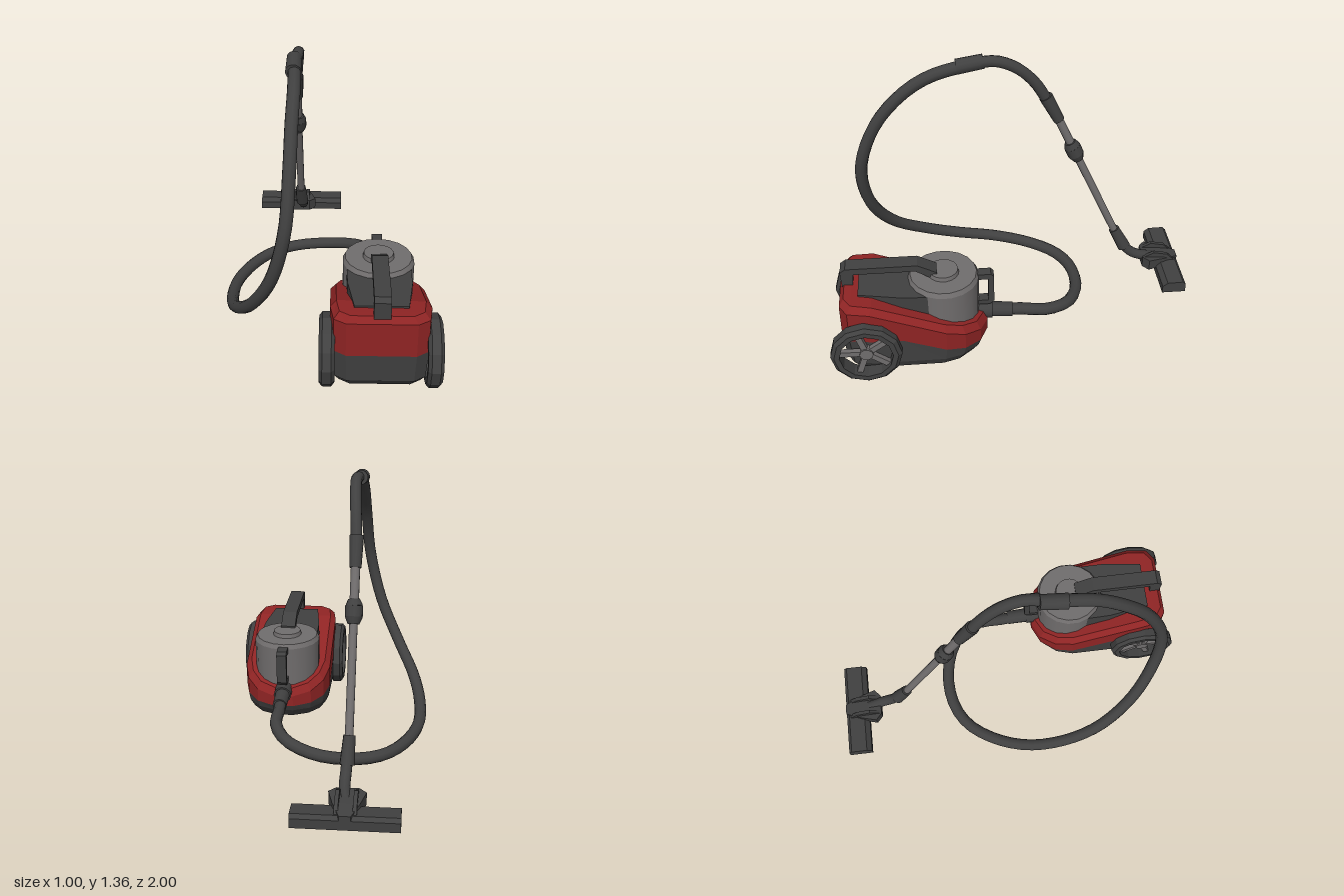
import * as THREE from 'three';

const mat = (name, color) => { const m = new THREE.MeshStandardMaterial({ color }); m.name = name; return m; };
const red = mat('red shell', 0x8f2424);
const dark = mat('dark plastic', 0x404040);
const grey = mat('grey plastic', 0x706d6d);
const TURN = -Math.PI / 8;
const v = (x, y, z) => new THREE.Vector3(x, y, z);

function add(parent, name, geo, material) {
  const mesh = new THREE.Mesh(geo, material);
  mesh.name = name;
  parent.add(mesh);
  return mesh;
}

const flat = (geo) => {
  const g = geo.index ? geo.toNonIndexed() : geo;
  g.computeVertexNormals();
  return g;
};

// piecewise linear height along z
const slope = (...t) => (z) => {
  for (let i = 1; i < t.length; i++) {
    const [z0, y0] = t[i - 1], [z1, y1] = t[i];
    if (z <= z1 || i === t.length - 1) return THREE.MathUtils.lerp(y0, y1, THREE.MathUtils.clamp((z - z0) / (z1 - z0), 0, 1));
  }
};

// mirrored outline lofted through levels { sx, sz, y(z) } from bottom to top
function loft(half, levels, zc = 0.14) {
  const n = half.length, N = n * 2, pos = [];
  const loop = [...half, ...[...half].reverse().map(([x, z]) => [-x, z])];
  const rings = levels.map(({ sx = 1, sz = 1, y }) => loop.map(([x, z]) => {
    const zz = zc + (z - zc) * sz;
    return [x * sx, y(zz), zz];
  }));
  const quad = (a, b, c, d) => pos.push(...a, ...b, ...c, ...a, ...c, ...d);
  for (let r = 1; r < rings.length; r++) {
    const a = rings[r - 1], b = rings[r];
    for (let i = 0; i < N; i++) quad(a[i], b[i], b[(i + 1) % N], a[(i + 1) % N]);
  }
  const lo = rings[0], hi = rings[rings.length - 1];
  for (let i = 0; i < n - 1; i++) {
    const j = N - 1 - i;
    quad(hi[i], hi[j], hi[j - 1], hi[i + 1]);
    quad(lo[i], lo[i + 1], lo[j - 1], lo[j]);
  }
  const g = new THREE.BufferGeometry();
  g.setAttribute('position', new THREE.Float32BufferAttribute(pos, 3));
  g.computeVertexNormals();
  return g;
}

// side profile of [z, y] points, given a width along x
function profile(points, width) {
  const shape = new THREE.Shape(points.map(([z, y]) => new THREE.Vector2(z, y)));
  const g = new THREE.ExtrudeGeometry(shape, { depth: width, bevelEnabled: false });
  return g.translate(0, 0, -width / 2).rotateY(-Math.PI / 2);
}

// round bar between two points
function bar(parent, name, a, b, ra, rb, material, sides = 12) {
  const mesh = add(parent, name, new THREE.CylinderGeometry(rb, ra, a.distanceTo(b), sides), material);
  mesh.position.copy(a).lerp(b, 0.5);
  mesh.quaternion.setFromUnitVectors(v(0, 1, 0), b.clone().sub(a).normalize());
  return mesh;
}

function tube(parent, name, pts, r, segs) {
  const curve = new THREE.CatmullRomCurve3(pts.map((p) => v(...p)));
  return add(parent, name, new THREE.TubeGeometry(curve, segs, r, 10), dark);
}

function makeWheel(side) {
  const wheel = new THREE.Group();
  wheel.name = side > 0 ? 'leftWheel' : 'rightWheel';
  const rim = [[0.125, -0.035], [0.15, -0.035], [0.167, -0.02], [0.167, 0.02], [0.15, 0.035], [0.125, 0.035], [0.125, -0.035]];
  const lathe = new THREE.LatheGeometry(rim.map(([r, y]) => new THREE.Vector2(r, y)), 12);
  add(wheel, 'rim', flat(lathe.rotateZ(-Math.PI / 2)), dark);
  add(wheel, 'hub', new THREE.CylinderGeometry(0.032, 0.032, 0.04, 10).rotateZ(Math.PI / 2), grey);
  for (let i = 0; i < 5; i++) {
    const spoke = new THREE.BoxGeometry(0.025, 0.115, 0.028).translate(0, 0.073, 0);
    add(wheel, 'spoke', spoke.rotateX((i * 2 * Math.PI) / 5 + 0.3), grey);
  }
  wheel.position.set(side * 0.238, 0.167, 0.375);
  return wheel;
}

function makeBody() {
  const body = new THREE.Group();
  body.name = 'canisterBody';
  const outline = [[0.05, -0.205], [0.14, -0.165], [0.2, -0.09], [0.225, 0], [0.225, 0.2], [0.225, 0.35], [0.21, 0.45], [0.155, 0.487]];
  const seam = slope([-0.21, 0.1], [-0.03, 0.125], [0.21, 0.215], [0.5, 0.215]);
  const top = slope([-0.21, 0.185], [0.1, 0.31], [0.35, 0.408], [0.5, 0.413]);
  const shoulder = (z) => top(z) - 0.03;

  // lower and upper shells
  add(body, 'lowerShell', loft(outline, [
    { sx: 0.88, sz: 0.86, y: () => 0.025 },
    { sx: 0.97, sz: 0.96, y: (z) => Math.min(seam(z) - 0.02, 0.07) },
    { y: seam }]), dark);
  add(body, 'upperShell', loft(outline, [
    { y: seam }, { y: shoulder }, { sx: 0.88, sz: 0.94, y: top }]), red);
  add(body, 'rearDeck', loft([[0.15, 0.02], [0.148, 0.2], [0.12, 0.4]], [
    { y: () => 0.2 }, { y: slope([0, 0.4], [0.4, 0.417]) }]), dark);

  // dust container with lid and knob
  const drum = (name, r0, r1, y0, y1, m = grey) =>
    add(body, name, new THREE.CylinderGeometry(r1, r0, y1 - y0, 18).translate(0, (y0 + y1) / 2, 0), m);
  drum('dustContainer', 0.168, 0.17, 0.15, 0.405);
  drum('containerLid', 0.17, 0.158, 0.405, 0.427);
  drum('lidKnob', 0.075, 0.07, 0.425, 0.447);

  // carrying handle and container grip
  add(body, 'carryHandle', profile([[0.475, 0.4], [0.48, 0.485], [0.455, 0.503], [0.12, 0.503], [0.03, 0.455], [0.03, 0.425],
    [0.06, 0.425], [0.13, 0.47], [0.42, 0.47], [0.425, 0.4]], 0.075), dark);
  add(body, 'containerGrip', profile([[-0.15, 0.415], [-0.225, 0.415], [-0.24, 0.4], [-0.24, 0.25], [-0.22, 0.23], [-0.15, 0.23],
    [-0.15, 0.255], [-0.213, 0.255], [-0.213, 0.385], [-0.15, 0.385]], 0.05), dark);

  // hose port
  bar(body, 'hosePort', v(0, 0.18, -0.14), v(0, 0.175, -0.23), 0.045, 0.045, dark);
  bar(body, 'hoseCollar', v(0, 0.175, -0.22), v(0, 0.165, -0.33), 0.038, 0.036, dark);

  for (const side of [1, -1]) body.add(makeWheel(side));
  body.position.set(0.18, 0, 0.4);
  body.rotation.y = TURN;
  return body;
}

function makeFloorHead() {
  const head = new THREE.Group();
  head.name = 'floorHead';
  add(head, 'headPlate', profile([[-0.06, 0], [0.06, 0], [0.06, 0.04], [0.035, 0.06], [-0.045, 0.062], [-0.06, 0.045]], 0.47), dark);
  add(head, 'headNeck', loft([[0.025, -0.06], [0.06, 0.02], [0.083, 0.1], [0.05, 0.13]], [
    { y: () => 0.03 }, { y: slope([-0.06, 0.068], [0.04, 0.085], [0.13, 0.09]) }], 0.03), dark);
  // hinge cheeks beside the neck joint
  for (const side of [1, -1]) {
    const cheek = profile([[-0.04, 0.06], [0.12, 0.06], [0.12, 0.09], [0.07, 0.115], [0, 0.1]], 0.018);
    add(head, 'hingeCheek', cheek.translate(side * 0.04, 0, 0), dark);
  }
  head.position.set(0.262, 0.06, -0.855);
  head.rotation.y = TURN;
  return head;
}

export function createModel() {
  const model = new THREE.Group();
  model.name = 'vacuumCleaner';
  model.add(makeBody(), makeFloorHead());

  // flexible hose from the port, round the floor and up to the grip
  tube(model, 'hose', [[0.28, 0.17, 0.16], [0.32, 0.16, 0.05], [0.365, 0.145, -0.06], [0.345, 0.12, -0.2], [0.23, 0.09, -0.32],
    [0.06, 0.075, -0.385], [-0.085, 0.068, -0.375], [-0.23, 0.068, -0.29], [-0.355, 0.078, -0.15], [-0.435, 0.11, 0.03],
    [-0.47, 0.18, 0.21], [-0.452, 0.31, 0.4], [-0.4, 0.51, 0.535], [-0.35, 0.765, 0.582], [-0.3, 1.01, 0.51],
    [-0.245, 1.17, 0.39], [-0.19, 1.26, 0.27], [-0.12, 1.315, 0.09]], 0.03, 56);
  bar(model, 'hoseCoupling', v(-0.148, 1.302, 0.15), v(-0.1, 1.325, 0.035), 0.037, 0.035, dark);
  tube(model, 'bentGrip', [[-0.12, 1.315, 0.09], [-0.065, 1.33, -0.01], [-0.03, 1.29, -0.1], [-0.005, 1.21, -0.18], [0.012, 1.11, -0.24]], 0.027, 14);

  // telescopic wand
  bar(model, 'gripCollar', v(0.01, 1.125, -0.235), v(0.036, 0.995, -0.297), 0.033, 0.027, dark);
  bar(model, 'upperWand', v(0.035, 1, -0.295), v(0.068, 0.815, -0.373), 0.021, 0.021, grey);
  bar(model, 'lowerWand', v(0.068, 0.815, -0.373), v(0.165, 0.28, -0.6), 0.019, 0.019, grey);
  const slider = [[0.06, 0.868, -0.35, 0.027], [0.063, 0.84, -0.362, 0.04], [0.071, 0.795, -0.381, 0.04], [0.077, 0.765, -0.394, 0.026]];
  for (let i = 1; i < slider.length; i++) {
    const [a, b] = [slider[i - 1], slider[i]];
    bar(model, 'wandSlider', v(a[0], a[1], a[2]), v(b[0], b[1], b[2]), a[3], b[3], dark);
  }

  // joint down to the floor head
  bar(model, 'wandSocket', v(0.157, 0.32, -0.585), v(0.185, 0.205, -0.638), 0.027, 0.034, dark);
  tube(model, 'headElbow', [[0.183, 0.22, -0.632], [0.2, 0.175, -0.665], [0.22, 0.148, -0.71], [0.242, 0.125, -0.79]], 0.026, 10);
  return model;
}
